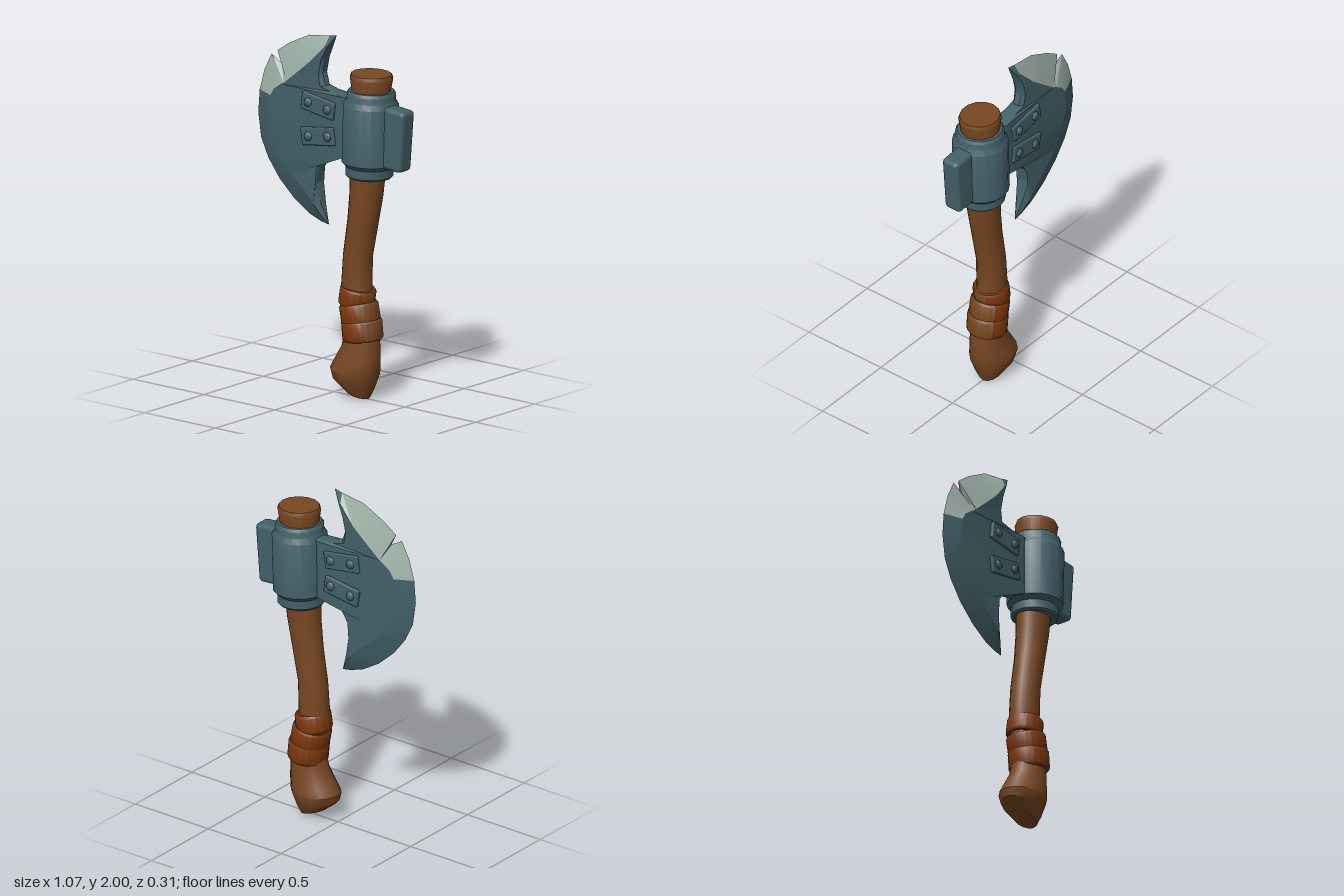
import * as THREE from 'three';
import { toCreasedNormals } from 'three/addons/utils/BufferGeometryUtils.js';
import { RoundedBoxGeometry } from 'three/addons/geometries/RoundedBoxGeometry.js';

const material = (name, color) => Object.assign(new THREE.MeshStandardMaterial({ color }), { name });

// Skin a list of closed rings; keep(k, i) picks which quads are built
function skin(rings, crease, keep = () => true) {
  const pos = [];
  for (let k = 0; k < rings.length - 1; k++) {
    const n = rings[k].length;
    for (let i = 0; i < n; i++) {
      if (!keep(k, i)) continue;
      const j = (i + 1) % n;
      const a = rings[k][i], b = rings[k][j], c = rings[k + 1][j], d = rings[k + 1][i];
      pos.push(...a, ...d, ...b, ...b, ...d, ...c);
    }
  }
  const g = new THREE.BufferGeometry();
  g.setAttribute('position', new THREE.Float32BufferAttribute(pos, 3));
  g.computeVertexNormals();
  return toCreasedNormals(g, crease);
}

export function createModel() {
  const group = new THREE.Group();
  group.name = 'battleAxe';
  const metal = material('dark steel', 0x436169);
  const edge = material('pale steel', 0x9fb2a8);
  const wood = material('wood', 0x784722);
  const leather = material('leather', 0x7d380d);

  const add = (name, geometry, mat, x = 0, y = 0, z = 0, tilt = 0, parent = group) => {
    const mesh = new THREE.Mesh(geometry, mat);
    mesh.name = name;
    mesh.position.set(x, y, z);
    mesh.rotation.z = tilt;
    parent.add(mesh);
    return mesh;
  };

  // Handle: ovals given by left point, right point and half depth, from butt to top
  const ovals = [
    [0.165, 0.023, 0.165, 0.023, 0],
    [0.09, 0.045, 0.24, 0.0, 0.06],
    [0.01, 0.11, 0.265, 0.055, 0.1],
    [0.0, 0.155, 0.297, 0.14, 0.12],
    [0.025, 0.2, 0.305, 0.21, 0.107],
    [0.075, 0.28, 0.305, 0.31, 0.092],
    [0.095, 0.36, 0.295, 0.38, 0.088],
    [0.07, 0.62, 0.25, 0.62, 0.08],
    [0.085, 0.8, 0.255, 0.8, 0.08],
    [0.115, 1.0, 0.298, 1.0, 0.08],
    [0.13, 1.15, 0.328, 1.15, 0.085],
    [0.132, 1.25, 0.34, 1.25, 0.09],
    [0.155, 1.72, 0.37, 1.72, 0.105],
    [0.143, 1.81, 0.387, 1.805, 0.116],
    [0.15, 1.83, 0.38, 1.825, 0.108],
    [0.265, 1.828, 0.265, 1.828, 0],
  ];
  const handleRings = ovals.map(([lx, ly, rx, ry, depth]) =>
    Array.from({ length: 14 }, (_, i) => {
      const a = (i / 14) * Math.PI * 2, c = Math.cos(a) / 2;
      return [(lx + rx) / 2 + (rx - lx) * c, (ly + ry) / 2 + (ry - ly) * c, Math.sin(a) * depth];
    }));
  add('handle', skin(handleRings, 0.6), wood);

  // Leather wraps: tilted oval bands, worn to wood colour on the +x side
  const wraps = [
    [0.2, 0.385, 0.115, 0.1, 0.112],
    [0.183, 0.475, 0.11, 0.2, 0.108],
    [0.165, 0.565, 0.105, -0.16, 0.1],
  ];
  wraps.forEach(([x, y, h, tilt, r], n) => {
    const profile = [[r - 0.04, -h / 2], [r - 0.008, -h / 2], [r, -h / 2 + 0.012],
      [r, h / 2 - 0.012], [r - 0.008, h / 2], [r - 0.04, h / 2]]
      .map(([px, py]) => new THREE.Vector2(px, py));
    const worn = n === 2 ? 0.25 : 0.6;
    const start = Math.PI * (0.5 - worn / 2), span = Math.PI * worn;
    const band = (name, mat, from, length, segments) =>
      add(name, toCreasedNormals(new THREE.LatheGeometry(profile, segments, from, length), 0.6),
        mat, x, y, 0, tilt);
    band('gripWrap', leather, start + span, Math.PI * 2 - span, 14);
    band('wornGripWrap', wood, start, span, 6);
  });

  // Collar around the handle
  const collar = [[0.09, 1.25], [0.12, 1.25], [0.131, 1.262], [0.131, 1.31], [0.154, 1.335],
    [0.154, 1.655], [0.135, 1.685], [0.135, 1.72], [0.124, 1.737], [0.09, 1.737]]
    .map(([r, y]) => new THREE.Vector2(r, y - 1.493));
  add('collar', toCreasedNormals(new THREE.LatheGeometry(collar, 18), 0.6), metal, 0.257, 1.493, 0, -0.03);

  // Hammer block at the rear of the collar
  add('poll', new RoundedBoxGeometry(0.165, 0.345, 0.108, 2, 0.025), metal, 0.437, 1.492, 0, -0.08);

  // Blade stations, tip to tip: cutting edge, bevel ridge, inner edge (x, y each)
  const stations = [
    [0.02, 2.0, 0.02, 2.0, 0.02, 2.0],
    [-0.03, 1.99, -0.04, 1.935, -0.02, 1.94],
    [-0.175, 1.97, -0.13, 1.84, -0.055, 1.86],
    [-0.31, 1.905, -0.22, 1.765, -0.065, 1.775],
    [-0.4, 1.845, -0.3, 1.7, -0.045, 1.71],
    [-0.37, 1.78, -0.32, 1.685, 0.04, 1.69],
    [-0.44, 1.82, -0.34, 1.675, 0.15, 1.675],
    [-0.49, 1.725, -0.39, 1.64, 0.15, 1.635],
    [-0.525, 1.605, -0.415, 1.6, 0.15, 1.555],
    [-0.535, 1.475, -0.425, 1.475, 0.15, 1.48],
    [-0.515, 1.34, -0.39, 1.35, 0.15, 1.395],
    [-0.465, 1.235, -0.34, 1.255, 0.15, 1.345],
    [-0.385, 1.13, -0.265, 1.18, -0.02, 1.33],
    [-0.28, 1.035, -0.175, 1.11, -0.085, 1.255],
    [-0.175, 0.97, -0.11, 1.04, -0.1, 1.16],
    [-0.09, 0.94, -0.07, 0.98, -0.075, 1.05],
    [-0.035, 0.93, -0.035, 0.93, -0.035, 0.93],
  ];
  const bladeRings = stations.map(([ox, oy, rx, ry, ix, iy]) => {
    const ridge = 0.043 * Math.min(1, Math.hypot(ox - rx, oy - ry) / 0.08);
    const body = ix > 0.1 ? 0.05 : ridge * 0.85;
    const jx = ix + (rx - ix) * 0.1, jy = iy + (ry - iy) * 0.1;
    return [[ox, oy, 0], [rx, ry, ridge], [jx, jy, body], [ix, iy, body / 2],
      [ix, iy, -body / 2], [jx, jy, -body], [rx, ry, -ridge]];
  });
  const isPale = (k, i) => (i === 0 || i === 6) && k >= 1 && k <= 7;
  add('blade', skin(bladeRings, 0.35, (k, i) => !isPale(k, i)), metal);
  add('bareCuttingEdge', skin(bladeRings, 0.35, isPale), edge);

  // Riveted straps on both faces of the blade
  for (const side of [1, -1]) {
    for (const [y, tilt] of [[1.602, -0.15], [1.43, 0.14]]) {
      const strap = new THREE.Group();
      strap.name = 'rivetedStrap';
      strap.position.set(-0.068, y, 0.045 * side);
      strap.rotation.z = tilt;
      group.add(strap);
      add('strap', new RoundedBoxGeometry(0.232, 0.1, 0.036, 1, 0.008), metal, 0, 0, 0, 0, strap);
      for (const x of [-0.065, 0.072]) {
        const rivet = add('rivet', new THREE.SphereGeometry(0.027, 10, 6), metal, x, 0, 0.016 * side, 0, strap);
        rivet.scale.z = 0.65;
      }
    }
  }
  return group;
}
